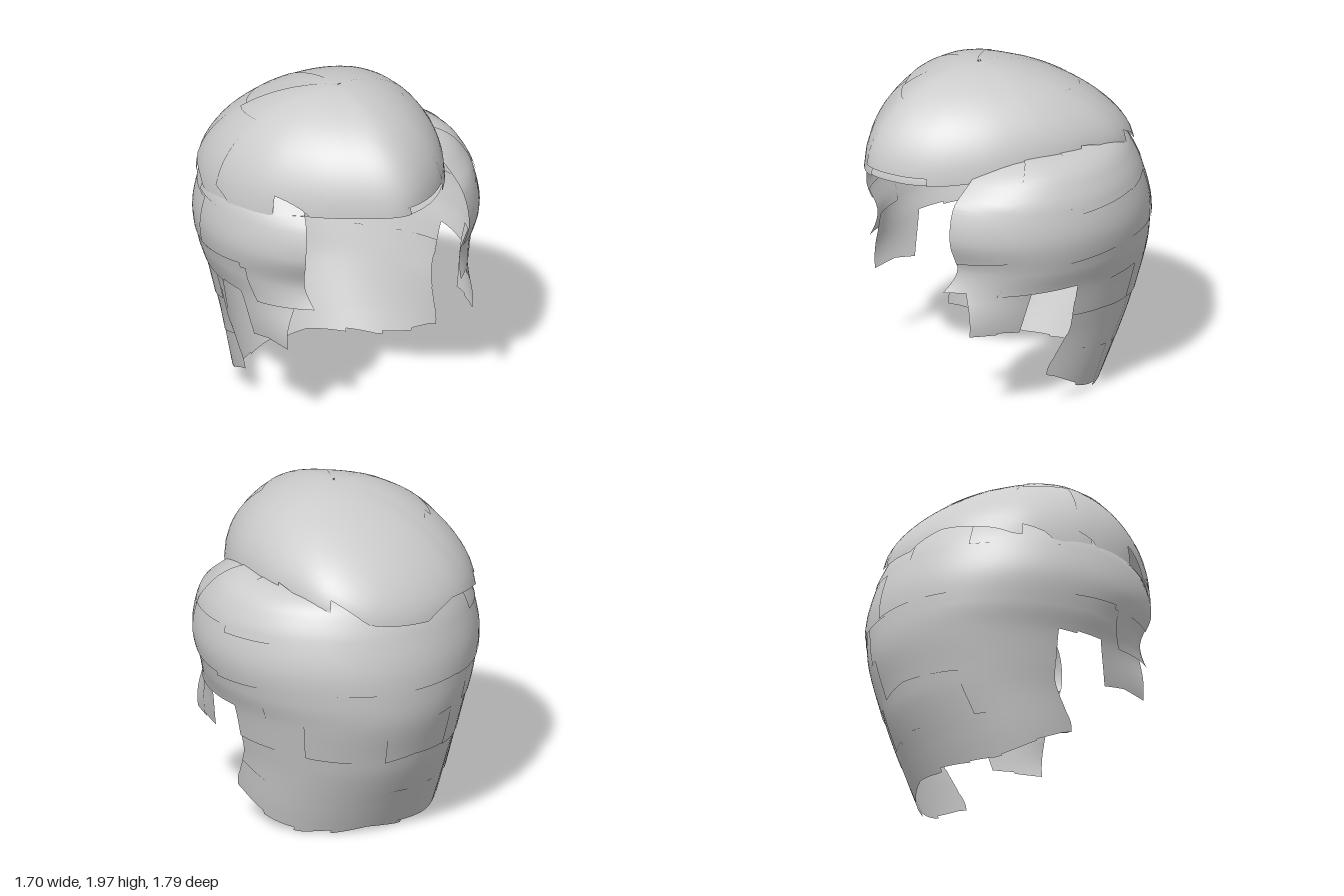
import * as THREE from 'three';

const material = new THREE.MeshStandardMaterial({ color: 0xcccccc, side: THREE.DoubleSide });
const { sin, cos, PI, min, max } = Math;
const DEG = PI / 180;

let seed = 7;
const jitter = (amount) => {
  seed = (seed * 16807) % 2147483647;
  return (seed / 2147483647 - 0.5) * 2 * amount;
};

// Smooth table lookup: rows of [key, value, value, ...]
function lookup(table, key, col) {
  const k = min(max(key, table[0][0]), table[table.length - 1][0]);
  let i = 0;
  while (i < table.length - 2 && k > table[i + 1][0]) i++;
  const slope = (j) => {
    const a = table[max(j - 1, 0)], b = table[min(j + 1, table.length - 1)];
    return (b[col] - a[col]) / (b[0] - a[0]);
  };
  const p = table[i], q = table[i + 1], h = q[0] - p[0], t = (k - p[0]) / h;
  const t2 = t * t, t3 = t2 * t;
  return (2 * t3 - 3 * t2 + 1) * p[col] + (t3 - 2 * t2 + t) * h * slope(i)
    + (3 * t2 - 2 * t3) * q[col] + (t3 - t2) * h * slope(i + 1);
}

// Head shell: height, half width, depth to the back, depth to the front
const SHELL = [
  [0, 0.58, 0.53, 1.2], [0.2, 0.62, 0.63, 1.2], [0.45, 0.66, 0.75, 1.2], [0.6, 0.695, 0.8, 1.15],
  [0.8, 0.745, 0.86, 0.85], [0.95, 0.8, 0.875, 0.74], [1.15, 0.84, 0.865, 0.82], [1.35, 0.81, 0.81, 0.78],
  [1.45, 0.765, 0.765, 0.65], [1.52, 0.71, 0.72, 0.53], [1.57, 0.62, 0.66, 0.4], [1.59, 0.52, 0.58, 0.3],
];
// Angle 0 is the back of the head, +90 degrees the left side
function shellPoint(angle, y) {
  const c = cos(angle);
  return new THREE.Vector3(
    lookup(SHELL, y, 1) * sin(angle), y, -lookup(SHELL, y, c > 0 ? 2 : 3) * c);
}

// Sides and back of the head, from the rounded top rim down to ear height
const upperSurface = (u, v) => shellPoint((u * 2 - 1) * 140 * DEG,
  v < 0.5 ? 1.2 + 0.39 * cos(v * PI) : 1.2 - (v - 0.5) * 0.8);

// Nape, narrower behind the ears and flicking forward near the bottom
function napeSurface(u, v) {
  const s = u * 2 - 1, e = Math.abs(s);
  const bottom = e < 0.55 ? 0.045 - 0.03 * e : 0.03 + 0.18 * ((e - 0.55) / 0.45) ** 1.3;
  const y = max(0, 0.92 + (bottom - 0.92) * v);
  const reach = 83 + 9 * THREE.MathUtils.smoothstep(0.55 - y, 0, 0.3);
  return shellPoint(s * reach * DEG, y);
}

// Tapered lock in front of each ear
const sideburnSurface = (side) => (u, v) => {
  const y = 0.92 - 0.37 * v;
  const f = lookup(SHELL, y, 3);
  const z = 0.24 + (side > 0 ? u : 1 - u) * 0.3 - 0.08 * (1 - v) * (side > 0 ? 1 - u : u);
  return shellPoint(side * Math.acos(-z / f), y);
};

// Swept top volume: plan outline from the front, round by the right, back and left
const outline = new THREE.CatmullRomCurve3([
  [0, 1.44, 0.89], [-0.3, 1.43, 0.75], [-0.56, 1.41, 0.53], [-0.73, 1.38, 0.3], [-0.81, 1.36, 0],
  [-0.75, 1.38, -0.36], [-0.52, 1.4, -0.64], [-0.15, 1.4, -0.79], [0.2, 1.44, -0.76], [0.42, 1.52, -0.58],
  [0.53, 1.55, -0.28], [0.555, 1.53, 0.02], [0.5, 1.48, 0.38], [0.3, 1.44, 0.72],
].map((p) => new THREE.Vector3(...p)), true);
const crown = new THREE.Vector3(-0.07, 2, 0.14);

function topSurface(u, v) {
  const edge = outline.getPoint(((u % 1) + 1) % 1);
  const s = min(v, 1);
  const n = 2 - 0.3 * min(1, max(0, -edge.z / 0.6));
  const p = crown.clone().lerp(edge, s);
  p.y = edge.y + (crown.y - edge.y) * (1 - s ** n) ** (1 / n);
  return p;
}

// Return of the front wave underneath, back to the hairline
function underSurface(u, v) {
  const edge = outline.getPoint((1.19 - u * 0.4) % 1);
  const p = edge.clone().lerp(crown, v * 0.48);
  p.y = edge.y - 0.03 * sin(v * PI) - 0.01 * v;
  return p;
}

// Normal of a surface by small differences
function normalAt(surface, u, v) {
  const e = 0.004, v0 = max(v - e, 0), v1 = min(v + e, 0.998);
  const du = surface(u + e, v).sub(surface(u - e, v));
  const dv = surface(u, max(v1, v0 + e)).sub(surface(u, min(v0, v1 - e)));
  return du.cross(dv).normalize();
}

// One curved hair card: a patch of a surface, lifted towards its tip
function card(surface, u0, u1, v0, v1, { lift, slant, skew, nu, nv }) {
  const pos = [], nor = [], index = [];
  for (let j = 0; j <= nv; j++) {
    for (let i = 0; i <= nu; i++) {
      const a = i / nu, b = j / nv;
      const v = min(1, max(0.004, v0 + (v1 + slant * (a - 0.5) - v0) * b));
      const u = u0 + (u1 - u0) * a + skew * b;
      const n = normalAt(surface, u, v);
      const p = surface(u, v).addScaledVector(n, lift * (0.2 + 0.5 * b + 0.3 * a));
      p.y = max(p.y, 0);
      pos.push(p.x, p.y, p.z);
      nor.push(n.x, n.y, n.z);
      if (i < nu && j < nv) {
        const k = j * (nu + 1) + i;
        index.push(k, k + 1, k + nu + 2, k, k + nu + 2, k + nu + 1);
      }
    }
  }
  const g = new THREE.BufferGeometry();
  g.setAttribute('position', new THREE.Float32BufferAttribute(pos, 3));
  g.setAttribute('normal', new THREE.Float32BufferAttribute(nor, 3));
  g.setIndex(index);
  return new THREE.Mesh(g, material);
}

// Overlapping rows of cards; each row is [v0, v1, number of cards]
function locks(name, surface, rows, { lift = 0.014, rough = 1, closed = false, nu = 7, nv = 9 } = {}) {
  const group = new THREE.Group();
  group.name = name;
  rows.forEach(([v0, v1, count], r) => {
    const w = 1 / count;
    for (let c = 0; c < count; c++) {
      const first = !closed && c === 0, last = !closed && c === count - 1;
      const shift = closed ? r * 0.4 * w : 0;
      const mesh = card(surface,
        c * w + shift - (first ? 0 : w * 0.1), (c + 1) * w + shift + (last ? 0 : w * 0.1),
        v0, v1 + jitter(0.012 * rough), {
          lift: lift * (1 + jitter(0.3)), slant: jitter(0.05 * rough),
          skew: first || last ? 0 : jitter(0.06 * w), nu, nv,
        });
      mesh.name = name + 'Card';
      group.add(mesh);
    }
  });
  return group;
}

export function createModel() {
  const model = new THREE.Group();
  model.name = 'hair';
  model.add(
    locks('nape', napeSurface, [[0.62, 0.98, 9], [0.3, 0.7, 8], [0, 0.4, 9]]),
    locks('sidesAndBack', upperSurface, [[0.62, 0.98, 11], [0.3, 0.72, 10], [0, 0.4, 9]], { nu: 9, nv: 11 }),
    locks('rightSideburn', sideburnSurface(-1), [[0, 0.98, 2]], { rough: 1.5 }),
    locks('leftSideburn', sideburnSurface(1), [[0, 0.98, 2]], { rough: 1.5 }),
    locks('sweptTop', topSurface, [[0.55, 1, 11], [0, 0.66, 7]], { closed: true, lift: 0.008, nu: 10, nv: 16 }),
    locks('frontWaveUnderside', underSurface, [[0, 1, 5]], { lift: 0.006, nu: 8, nv: 6 }),
  );
  return model;
}
